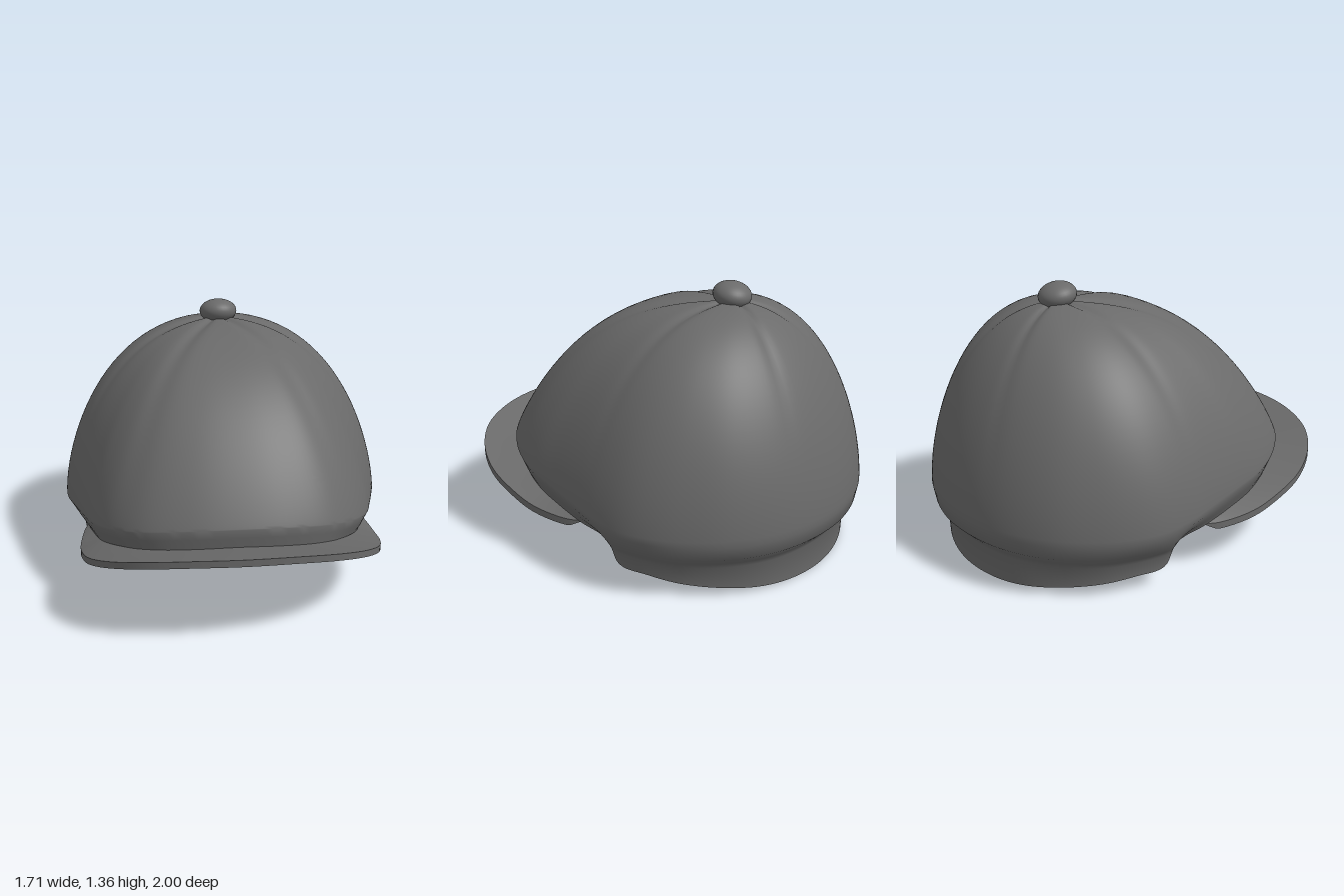
import * as THREE from 'three';
import { toCreasedNormals } from 'three/addons/utils/BufferGeometryUtils.js';

const material = new THREE.MeshStandardMaterial({ color: 0x6a6a6a, side: THREE.DoubleSide });
const V = (x, y, z) => new THREE.Vector3(x, y, z);
const APEX = V(0, 1.265, -0.36);

// half of a curve on the +x side, mirrored to the -x side
function mirrored(half, closed) {
  const pts = half.map((p) => V(...p));
  const other = pts.slice(closed ? 1 : 0, -1).reverse().map((p) => V(-p.x, p.y, p.z));
  return new THREE.CatmullRomCurve3([...pts, ...other], closed);
}

// skin columns of points (all the same length) with quads
function skin(columns) {
  const n = columns[0].length;
  const index = [];
  for (let c = 0; c < columns.length - 1; c++) {
    for (let r = 0; r < n - 1; r++) {
      const a = c * n + r;
      const b = a + n;
      index.push(a, b, a + 1, b, b + 1, a + 1);
    }
  }
  const geometry = new THREE.BufferGeometry().setFromPoints(columns.flat());
  geometry.setIndex(index);
  return toCreasedNormals(geometry, 0.8);
}

function mesh(name, geometry) {
  const m = new THREE.Mesh(geometry, material);
  m.name = name;
  return m;
}

// widest line of the crown and its lower rim, from the back to the front
const widest = mirrored([
  [0, 0.3, -1], [0.26, 0.3, -0.965], [0.47, 0.3, -0.88], [0.65, 0.3, -0.74], [0.775, 0.3, -0.56],
  [0.835, 0.305, -0.41], [0.855, 0.31, -0.28], [0.84, 0.33, -0.12], [0.8, 0.36, 0.04], [0.748, 0.39, 0.22],
  [0.69, 0.42, 0.4], [0.59, 0.465, 0.57], [0.44, 0.51, 0.7], [0.23, 0.54, 0.77], [0, 0.55, 0.79],
], true);
const rim = mirrored([
  [0, 0, -0.92], [0.23, 0.005, -0.89], [0.42, 0.02, -0.815], [0.57, 0.04, -0.69], [0.69, 0.065, -0.52],
  [0.74, 0.085, -0.36], [0.755, 0.1, -0.21], [0.755, 0.21, -0.14], [0.735, 0.245, 0.04], [0.7, 0.275, 0.2],
  [0.65, 0.315, 0.38], [0.56, 0.37, 0.55], [0.42, 0.415, 0.69], [0.23, 0.44, 0.755], [0, 0.45, 0.775],
], true);

// shallow gathers where the panels are sewn together, in degrees from the front
const SEAMS = [28, 70, 150];
function groove(angle, s) {
  let g = 0;
  for (const seam of SEAMS) {
    const d = (angle - THREE.MathUtils.degToRad(seam)) * (0.3 + s);
    g += Math.exp(-((d / 0.07) ** 2));
  }
  return g * 0.014 * Math.sin(Math.PI * Math.sqrt(s));
}

// one meridian of the crown: dome, rolled lower edge, then band
function meridian(u) {
  const w = widest.getPoint(u);
  const e = rim.getPoint(u);
  const angle = Math.atan2(Math.abs(w.x), w.z - APEX.z);
  const c = Math.cos(angle);
  const a = 2.4 + 0.3 * c;
  const b = 1.65 - 0.325 * c * c - 0.275 * c;
  const points = [];
  const steps = 28;
  for (let i = 0; i <= steps; i++) {
    const s = Math.sin((0.03 + 0.97 * i / steps) * Math.PI / 2);
    const h = Math.max(0, 1 - s ** a) ** (1 / b);
    const g = groove(angle, s);
    const k = s * (1 - g * s);
    points.push(V(w.x * k, w.y + (APEX.y - w.y) * h - g * h, APEX.z + (w.z - APEX.z) * k));
  }
  const drop = Math.min(0.16, w.y - e.y);
  for (const [out, down] of [[0.68 - 0.17 * c, 0.45], [0.3, 0.72], [0.06, 0.92]]) {
    points.push(V(
      e.x + (w.x - e.x) * out,
      w.y - drop * down,
      e.z + (w.z - e.z) * out,
    ));
  }
  points.push(e);
  return points;
}

// crown with an inner lining
function crownGeometry() {
  const around = 168;
  const columns = [];
  for (let i = 0; i <= around; i++) {
    const outer = meridian((i % around) / around);
    const lining = outer.map((p) => V(
      p.x * 0.97,
      p.y - 0.03 * THREE.MathUtils.smoothstep(p.y, 0.5, 1.2),
      (p.z + 0.1) * 0.97 - 0.1,
    )).reverse();
    columns.push([...outer, ...lining]);
  }
  return skin(columns);
}

// curved brim, thinning out at both ends
function brimGeometry() {
  const outer = mirrored([
    [0.725, 0.25, 0.03], [0.748, 0.245, 0.12], [0.76, 0.263, 0.32], [0.745, 0.307, 0.48], [0.7, 0.363, 0.65],
    [0.6, 0.422, 0.8], [0.45, 0.47, 0.91], [0.24, 0.5, 0.975], [0, 0.508, 0.997],
  ], false);
  const inner = mirrored([
    [0.722, 0.255, 0.03], [0.71, 0.265, 0.1], [0.67, 0.29, 0.28], [0.635, 0.32, 0.39], [0.55, 0.368, 0.545],
    [0.42, 0.415, 0.68], [0.32, 0.43, 0.725], [0.18, 0.445, 0.76], [0, 0.452, 0.768],
  ], false);
  const along = 80;
  const across = 6;
  const columns = [];
  for (let i = 0; i <= along; i++) {
    const u = i / along;
    const from = inner.getPoint(u);
    const to = outer.getPoint(u);
    const thickness = 0.035 * Math.min(1, 18 * Math.min(u, 1 - u));
    const top = [];
    for (let j = 0; j <= across; j++) top.push(from.clone().lerp(to, j / across));
    const bottom = top.map((p) => V(p.x, p.y - thickness, p.z)).reverse();
    columns.push([...top, ...bottom, top[0].clone()]);
  }
  return skin(columns);
}

export function createModel() {
  const cap = new THREE.Group();
  cap.name = 'cap';
  cap.add(mesh('crown', crownGeometry()), mesh('brim', brimGeometry()));

  // covered button on top
  const button = mesh('button', new THREE.SphereGeometry(1, 32, 20));
  button.scale.set(0.099, 0.064, 0.097);
  button.position.set(0, 1.29, -0.357);
  button.rotation.x = -0.2;
  cap.add(button);
  return cap;
}
